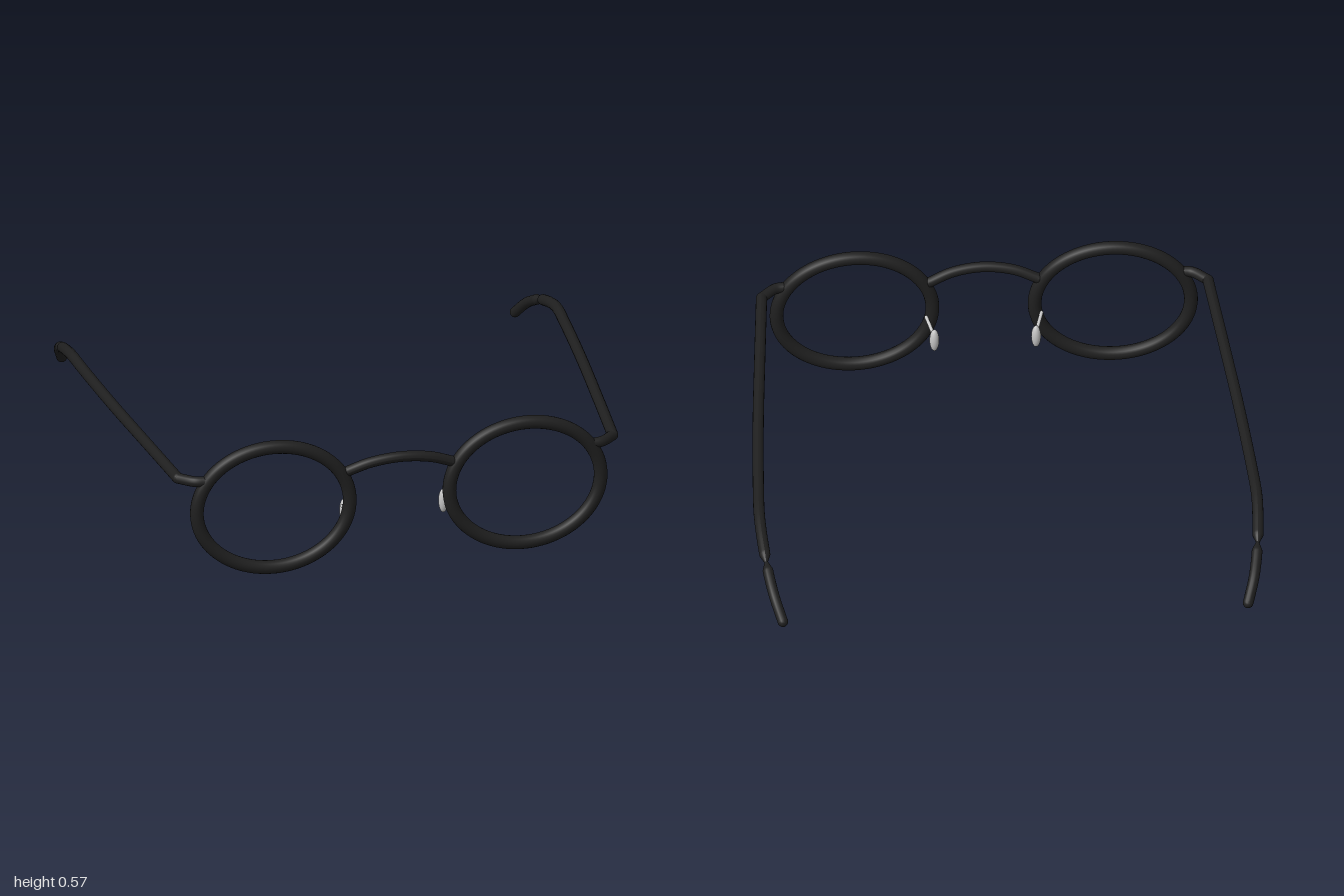
import * as THREE from 'three';

const black = new THREE.MeshStandardMaterial({ color: 0x1f1f1f });
black.name = 'black frame';
const silver = new THREE.MeshStandardMaterial({ color: 0xc4c4c4 });
silver.name = 'silver metal';

// Round bar along a curve; start and end radii blend to the full radius over a short bevel.
function bar(name, points, radius, material, { start = radius, end = radius, bevel = 0.035, segments = 48 } = {}) {
  const group = new THREE.Group();
  group.name = name;
  const curve = new THREE.CatmullRomCurve3(points.map((p) => new THREE.Vector3(...p)));
  const sides = 16;
  const geometry = new THREE.TubeGeometry(curve, segments, radius, sides, false);
  const length = curve.getLength();
  const position = geometry.attributes.position;
  const v = new THREE.Vector3();
  for (let i = 0; i <= segments; i++) {
    const u = i / segments;
    const a = Math.min(1, (u * length) / bevel);
    const b = Math.min(1, ((1 - u) * length) / bevel);
    const r = Math.min(start + (radius - start) * a, end + (radius - end) * b);
    const centre = curve.getPointAt(u);
    for (let j = 0; j <= sides; j++) {
      const k = i * (sides + 1) + j;
      v.fromBufferAttribute(position, k).sub(centre).multiplyScalar(r / radius).add(centre);
      position.setXYZ(k, v.x, v.y, v.z);
    }
  }
  geometry.computeVertexNormals();
  group.add(new THREE.Mesh(geometry, material));
  // Rounded ends
  [[0, start], [1, end]].forEach(([u, r]) => {
    const cap = new THREE.Mesh(new THREE.SphereGeometry(r, 16, 10), material);
    cap.position.copy(curve.getPointAt(u));
    group.add(cap);
  });
  group.children.forEach((m) => { m.name = name; });
  return group;
}

// Oval rim, wrapping back slightly towards the outer side
function rim(s) {
  const points = [];
  for (let i = 0; i < 32; i++) {
    const a = (i / 32) * Math.PI * 2;
    const x = 0.508 + 0.307 * Math.cos(a);
    const z = 0.919 - 0.014 * ((x - 0.2) / 0.62) ** 2;
    points.push(new THREE.Vector3(s * x, 0.288 + 0.257 * Math.sin(a), z));
  }
  const curve = new THREE.CatmullRomCurve3(points, true);
  const mesh = new THREE.Mesh(new THREE.TubeGeometry(curve, 96, 0.027, 16, true), black);
  mesh.name = 'rim';
  return mesh;
}

// Everything on one side of the frame
function half(s) {
  const group = new THREE.Group();
  group.name = s > 0 ? 'leftSide' : 'rightSide';
  const side = (pts) => pts.map(([x, y, z]) => [s * x, y, z]);
  group.add(rim(s));
  group.add(bar('endPiece', side([[0.78, 0.423, 0.908], [0.82, 0.423, 0.9], [0.875, 0.421, 0.85]]), 0.021, black));

  // Temple and ear tip, joined at a narrow waist
  group.add(bar('temple', side([
    [0.878, 0.421, 0.845], [0.912, 0.407, 0.45], [0.945, 0.391, 0.05], [0.97, 0.376, -0.33],
    [0.978, 0.368, -0.5], [0.976, 0.347, -0.6], [0.967, 0.305, -0.735],
  ]), 0.022, black, { end: 0.007, segments: 140 }));
  group.add(bar('earTip', side([
    [0.966, 0.305, -0.735], [0.957, 0.272, -0.8], [0.942, 0.23, -0.87], [0.915, 0.164, -0.94],
  ]), 0.021, black, { start: 0.007 }));

  // Nose pad on its thin arm
  group.add(bar('padArm', side([[0.227, 0.255, 0.9], [0.214, 0.238, 0.862], [0.2, 0.213, 0.825]]), 0.007, silver, { segments: 12 }));
  const pad = new THREE.Mesh(new THREE.SphereGeometry(1, 24, 16), silver);
  pad.name = 'nosePad';
  pad.scale.set(0.019, 0.05, 0.02);
  pad.position.set(s * 0.2, 0.2, 0.82);
  group.add(pad);
  return group;
}

export function createModel() {
  const model = new THREE.Group();
  model.name = 'spectacles';
  model.add(half(1), half(-1));
  // Arched bridge, bowing forward
  model.add(bar('bridge', [
    [-0.215, 0.41, 0.918], [-0.12, 0.446, 0.932], [0, 0.461, 0.938], [0.12, 0.446, 0.932], [0.215, 0.41, 0.918],
  ], 0.021, black));
  return model;
}
